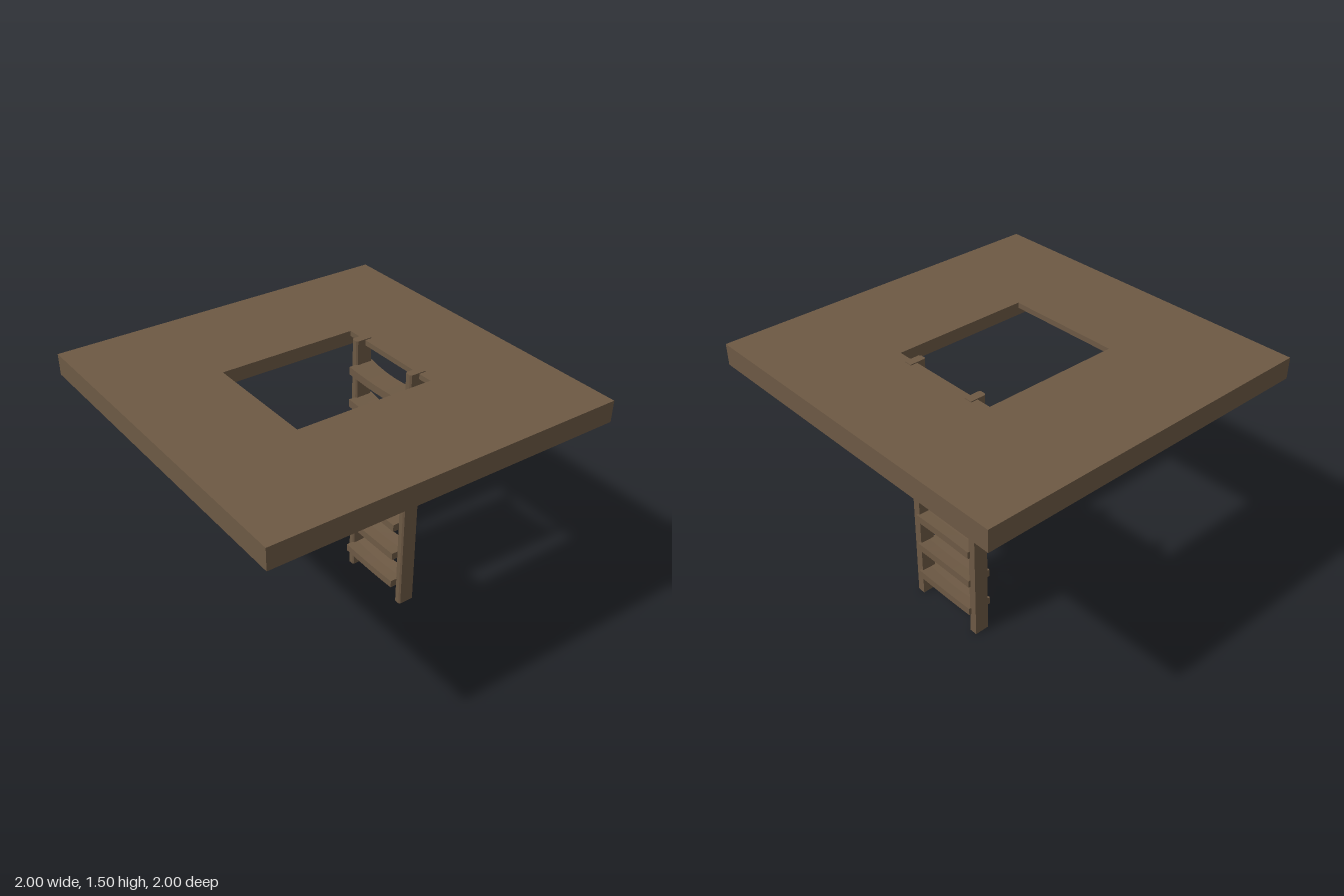
import * as THREE from 'three';

const wood = new THREE.MeshStandardMaterial({ color: 0x6d5944 });
wood.name = 'brown wood';

const TOP = 1.5, DECK = 0.03, BASE = 1.38;
const BEAM_H = TOP - DECK - BASE;

// Rectangle points in plan (x, -z)
function rect(x0, y0, x1, y1) {
  return [[x0, y0], [x1, y0], [x1, y1], [x0, y1]].map(p => new THREE.Vector2(...p));
}

// Plan outline raised from y0 by height h
function slab(name, points, y0, h, hole) {
  const shape = new THREE.Shape(points);
  if (hole) shape.holes.push(new THREE.Path(hole));
  const geo = new THREE.ExtrudeGeometry(shape, { depth: h, bevelEnabled: false });
  geo.rotateX(-Math.PI / 2);
  geo.translate(0, y0, 0);
  const mesh = new THREE.Mesh(geo, wood);
  mesh.name = name;
  return mesh;
}

// Plank rung, sagging in the middle with hollowed long edges
function rung(y, sag, tilt) {
  const geo = new THREE.BoxGeometry(0.425, 0.045, 0.15, 6, 1, 2).toNonIndexed();
  const p = geo.attributes.position;
  for (let i = 0; i < p.count; i++) {
    const x = p.getX(i), z = p.getZ(i);
    const bow = 1 - (x / 0.2125) ** 2;
    p.setY(i, p.getY(i) - sag * bow + (z < -0.05 ? tilt : 0));
    p.setZ(i, z - Math.sign(z) * 0.009 * bow);
  }
  geo.computeVertexNormals();
  const mesh = new THREE.Mesh(geo, wood);
  mesh.name = 'rung';
  mesh.position.set(0, y, -0.38);
  return mesh;
}

export function createModel() {
  const model = new THREE.Group();
  model.name = 'platformWithLadder';

  // Platform: thin deck with a hatch, edge frame below
  const platform = new THREE.Group();
  platform.name = 'platform';
  platform.add(slab('deck', rect(-1, -1, 1, 1), TOP - DECK, DECK, rect(-0.335, -0.4, 0.335, 0.4)));
  platform.add(slab('edgeFrame', rect(-1, -1, 1, 1), BASE, BEAM_H, rect(-0.91, -0.91, 0.91, 0.91)));

  // Joists beside the hatch
  for (const s of [-1, 1]) {
    platform.add(slab('joist', rect(s * 0.44 - 0.04, -0.91, s * 0.44 + 0.04, 0.91), BASE, BEAM_H));
  }

  // Diagonal braces across the four corners
  for (let i = 0; i < 4; i++) {
    const brace = slab('cornerBrace', [[0.49, 0.91], [0.91, 0.49], [0.91, 0.6], [0.6, 0.91]]
      .map(p => new THREE.Vector2(...p)), BASE, BEAM_H);
    brace.rotation.y = i * Math.PI / 2;
    platform.add(brace);
  }
  model.add(platform);

  // Ladder rails with clipped front corners
  const ladder = new THREE.Group();
  ladder.name = 'ladder';
  for (const s of [-1, 1]) {
    const outline = [[0.203, 0.44], [0.203, 0.353], [0.211, 0.345], [0.24, 0.345], [0.249, 0.353], [0.249, 0.44]]
      .map(([x, y]) => new THREE.Vector2(s * x, y));
    ladder.add(slab('ladderRail', outline, 0, 1.505));
  }

  // Rungs, each slightly differently worn
  const sags = [0.017, 0.012, 0.008, 0.012, 0.013, 0.018, 0.018];
  sags.forEach((sag, i) => ladder.add(rung(0.143 + i * 0.2, sag, 0.006 - i * 0.001)));
  model.add(ladder);
  return model;
}
